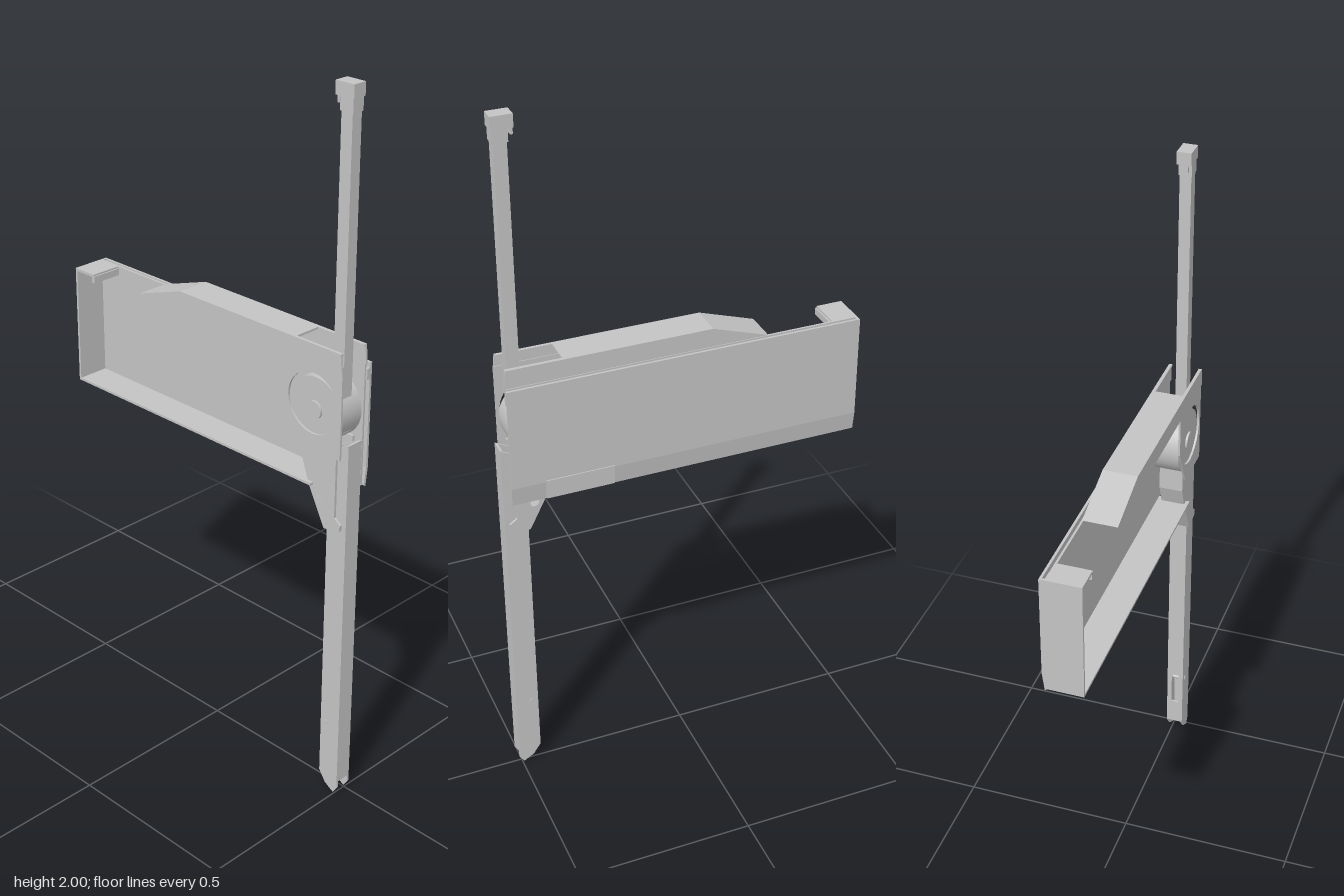
import * as THREE from 'three';

export function createModel() {
  const model = new THREE.Group();
  const grey = new THREE.MeshStandardMaterial({ color: 0xc4c4c4 });
  grey.name = 'light grey';

  const add = (name, geometry) => {
    const mesh = new THREE.Mesh(geometry, grey);
    mesh.name = name;
    model.add(mesh);
    return mesh;
  };
  // Box given by its limits on each axis
  const box = (name, x0, x1, y0, y1, z0, z1) => {
    const g = new THREE.BoxGeometry(x1 - x0, y1 - y0, z1 - z0);
    return add(name, g.translate((x0 + x1) / 2, (y0 + y1) / 2, (z0 + z1) / 2));
  };
  // Side profile of [z, y] points, extruded across x, with optional round holes [z, y, radius]
  const side = (name, x0, x1, points, holes = []) => {
    const shape = new THREE.Shape(points.map(([z, y]) => new THREE.Vector2(z, y)));
    for (const [z, y, r] of holes) {
      shape.holes.push(new THREE.Path().absarc(z, y, r, 0, Math.PI * 2, true));
    }
    const g = new THREE.ExtrudeGeometry(shape, { depth: x1 - x0, bevelEnabled: false, curveSegments: 24 });
    return add(name, g.rotateY(-Math.PI / 2).translate(x1, 0, 0));
  };
  const roller = (name, x0, x1, y, z, r) => {
    const g = new THREE.CylinderGeometry(r, r, x1 - x0, 40);
    return add(name, g.rotateZ(Math.PI / 2).translate((x0 + x1) / 2, y, z));
  };

  // Outer side panel with its lower edge leaning inwards
  const lean = new THREE.Shape([
    [0.046, 1.28], [0.046, 0.985], [0.04, 0.935], [0.046, 0.93], [0.053, 0.985], [0.053, 1.28],
  ].map(([x, y]) => new THREE.Vector2(x, y)));
  add('sidePanel', new THREE.ExtrudeGeometry(lean, { depth: 1.0, bevelEnabled: false }).translate(0, 0, -0.505));
  box('panelPlate', 0.045, 0.056, 0.935, 0.99, 0.21, 0.4);

  // Open tray: inner wall, floor, end wall and lip
  box('innerWall', 0.032, 0.038, 0.935, 1.28, -0.505, 0.49);
  box('trayFloor', -0.06, 0.038, 0.935, 0.942, -0.505, 0.4);
  box('endWall', -0.06, 0.046, 0.935, 1.28, -0.505, -0.498);
  box('endLip', -0.06, 0.036, 1.272, 1.28, -0.505, -0.43);
  box('endLipEdge', -0.06, 0.036, 1.255, 1.275, -0.436, -0.426);
  for (const z of [-0.47, -0.115, 0.06, 0.25, 0.32, 0.36, 0.44, 0.48]) {
    box('panelClip', 0.036, 0.048, 1.235, 1.265, z - 0.015, z + 0.015);
  }

  // Raised cover with a sloping rear end and an opening around the arm
  const coverSide = [[0.495, 1.28], [0.49, 1.333], [-0.08, 1.333], [-0.24, 1.28]];
  side('coverLeftSide', 0.03, 0.036, coverSide);
  side('coverRightSide', -0.06, -0.054, coverSide);
  side('coverTop', -0.06, 0.036, [
    [0.335, 1.327], [0.335, 1.333], [-0.08, 1.333], [-0.24, 1.28], [-0.225, 1.28], [-0.08, 1.327],
  ]);
  for (const [x0, x1] of [[-0.06, -0.051], [0.026, 0.036]]) box('coverRim', x0, x1, 1.327, 1.333, 0.335, 0.49);

  // Hub with a ring-shaped cheek on the open side
  side('hubCheek', -0.058, -0.052, [
    [0.495, 1.04], [0.495, 1.3], [0.3, 1.3], [0.3, 1.16], [0.36, 1.04],
  ], [[0.4, 1.17, 0.085]]);
  roller('hub', -0.05, 0.026, 1.15, 0.4, 0.09);
  roller('hubPin', -0.056, 0.032, 1.15, 0.4, 0.025);

  // Bracket: two cheeks joined by a sloping back
  const bracket = [
    [0.475, 1.08], [0.475, 0.865], [0.496, 0.85], [0.494, 0.832], [0.44, 0.822],
    [0.385, 0.93], [0.36, 1.0], [0.36, 1.08],
  ];
  for (const x of [-0.049, 0.012]) side('bracketCheek', x, x + 0.007, bracket, [[0.425, 0.905, 0.012]]);
  side('bracketBack', -0.045, 0.015, [
    [0.448, 0.824], [0.44, 0.822], [0.385, 0.93], [0.36, 1.0], [0.36, 1.08], [0.368, 1.08], [0.393, 0.934],
  ]);

  // Hollow lower post ending in two pointed side plates
  const post = [[0.508, 1.08], [0.508, 0.02], [0.495, 0], [0.465, 0.018], [0.443, 0.05], [0.443, 1.05]];
  for (const x of [-0.04, 0.004]) {
    side('lowerPostSide', x, x + 0.006, post, [[0.475, 0.06, 0.006], [0.475, 0.22, 0.01]]);
  }
  box('lowerPostFront', -0.036, 0.006, 0.04, 1.08, 0.502, 0.508);
  box('lowerPostBack', -0.036, 0.006, 0.24, 1.05, 0.443, 0.449);
  box('lowerPostBackFoot', -0.036, 0.006, 0.05, 0.13, 0.443, 0.449);
  for (const x of [-0.036, -0.004]) box('lowerPostSlotEdge', x, x + 0.01, 0.13, 0.24, 0.443, 0.449);
  roller('postPin', -0.042, 0.012, 0.22, 0.462, 0.007);

  // Upper arm with its cap and hook
  box('upperArm', -0.031, 0.001, 1.1, 1.97, 0.441, 0.476);
  box('armCap', -0.035, 0.005, 1.965, 2, 0.424, 0.482);
  box('armCapCollar', -0.033, 0.003, 1.93, 1.966, 0.438, 0.479);
  box('armCapHook', -0.027, -0.003, 1.945, 1.966, 0.424, 0.431);

  return model;
}
